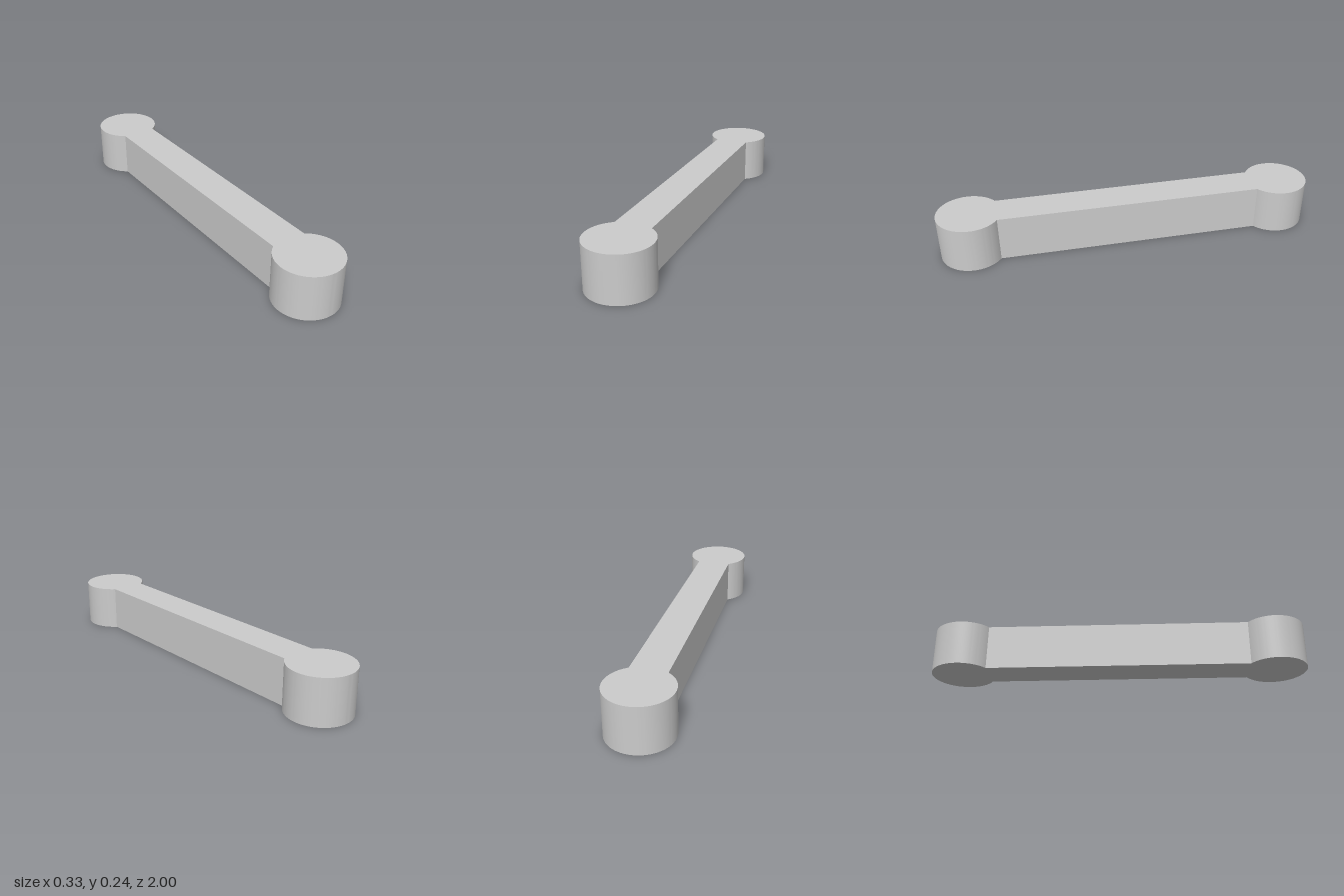
import * as THREE from 'three';
import { toCreasedNormals } from 'three/addons/utils/BufferGeometryUtils.js';

const HEIGHT = 0.24;
const END_RADIUS = 0.167;
const END_CENTRE = 1 - END_RADIUS;
const BAR_HALF_WIDTH = 0.093;

// Outline of a straight bar that runs into a round boss at each end
function linkOutline() {
  const a = Math.acos(BAR_HALF_WIDTH / END_RADIUS);
  const shape = new THREE.Shape();
  shape.absarc(0, END_CENTRE, END_RADIUS, -a, Math.PI + a, false);
  shape.absarc(0, -END_CENTRE, END_RADIUS, Math.PI - a, 2 * Math.PI + a, false);
  shape.closePath();
  return shape;
}

export function createModel() {
  const group = new THREE.Group();
  group.name = 'connectingLink';

  // Extrude upwards, with smooth round ends and sharp rims
  const geometry = new THREE.ExtrudeGeometry(linkOutline(), {
    depth: HEIGHT,
    bevelEnabled: false,
    curveSegments: 48,
  });
  geometry.rotateX(-Math.PI / 2);

  const link = new THREE.Mesh(
    toCreasedNormals(geometry, 0.5),
    new THREE.MeshStandardMaterial({ color: 0xcccccc })
  );
  link.name = 'barWithRoundEnds';
  group.add(link);
  return group;
}
